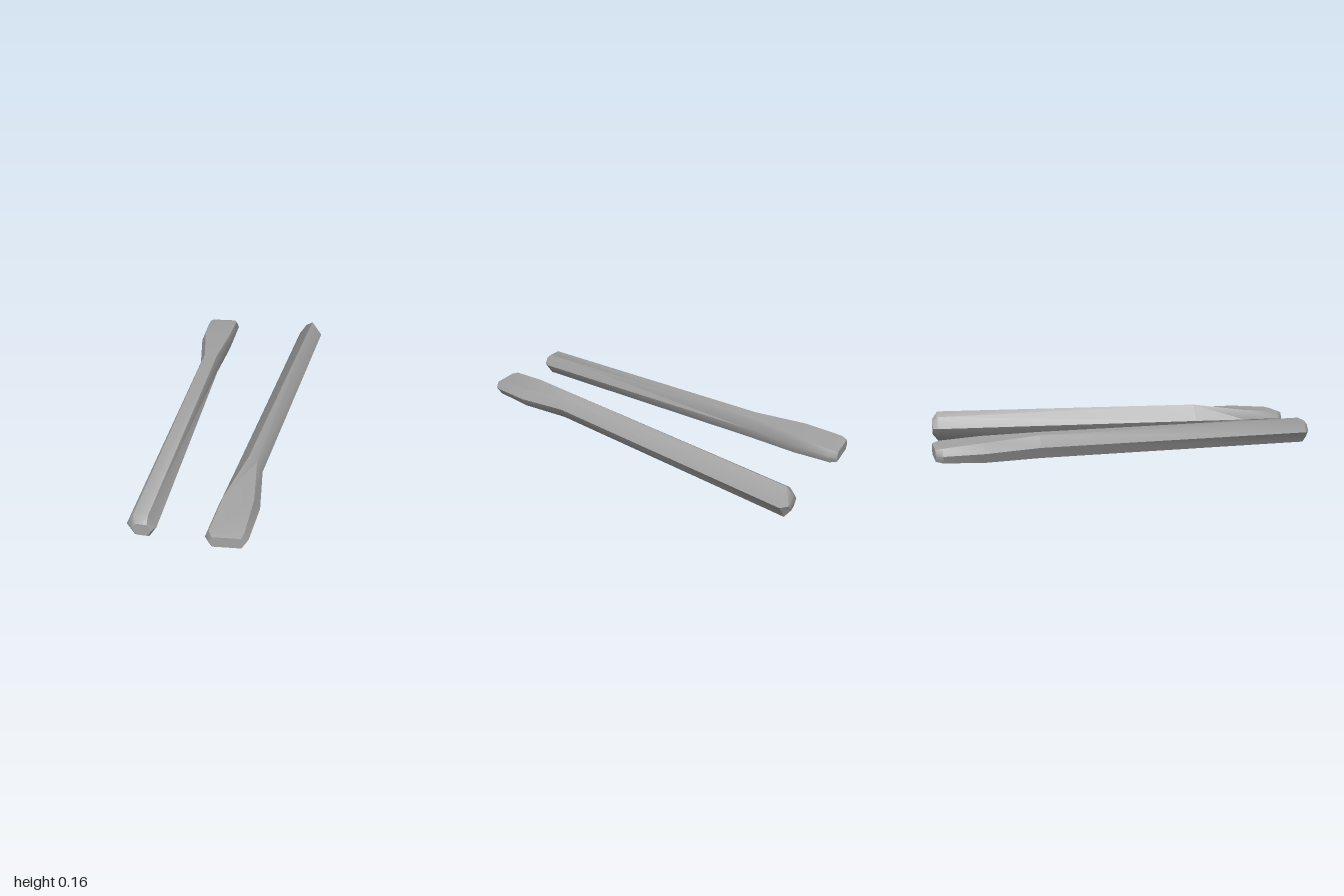
import * as THREE from 'three';
import { toCreasedNormals } from 'three/addons/utils/BufferGeometryUtils.js';

const MID = 0.083; // height of the sticks' centre plane

// Six-sided loft. Each section, ordered from +z to -z:
// [z, tilt, x left, x upper left, x upper right, x right, half height left, half height right]
function loft(sections) {
  const pos = [], index = [], n = sections.length;
  for (const [z, tilt, l, tl, tr, r, hl, hr] of sections) {
    const xc = (l + r) / 2;
    const ring = [[l, 0], [tl, hl], [tr, hr], [r, 0], [tr, -hr], [tl, -hl]];
    for (const [x, y] of ring) pos.push(x, MID + y, z + (x - xc) * tilt);
  }
  for (let i = 0; i < n - 1; i++) {
    for (let j = 0; j < 6; j++) {
      const a = i * 6 + j, b = i * 6 + (j + 1) % 6;
      index.push(a, b, b + 6, a, b + 6, a + 6);
    }
  }
  // End caps
  for (const i of [0, n - 1]) {
    const [z, , l, , , r] = sections[i];
    const centre = pos.length / 3;
    pos.push((l + r) / 2, MID, z);
    for (let j = 0; j < 6; j++) {
      const a = i * 6 + j, b = i * 6 + (j + 1) % 6;
      if (i === 0) index.push(centre, b, a);
      else index.push(centre, a, b);
    }
  }
  const geometry = new THREE.BufferGeometry();
  geometry.setAttribute('position', new THREE.Float32BufferAttribute(pos, 3));
  geometry.setIndex(index);
  return toCreasedNormals(geometry, 0.8);
}

export function createModel() {
  const group = new THREE.Group();
  group.name = 'pairOfChisels';
  const steel = new THREE.MeshStandardMaterial({ color: 0xa3a3a3 });
  steel.name = 'grey steel';

  const chisels = {
    // Even shaft, blade pointing back
    rightChisel: [
      [0.895, 0.2, -0.505, -0.487, -0.437, -0.418, 0.032, 0.032],
      [0.865, 0.2, -0.53, -0.497, -0.432, -0.397, 0.058, 0.058],
      [-0.5, 0.2, -0.225, -0.2, -0.13, -0.11, 0.057, 0.057],
      [-0.77, 0.15, -0.22, -0.198, -0.05, -0.032, 0.048, 0.048],
      [-0.96, 0.12, -0.183, -0.168, -0.003, 0.011, 0.035, 0.035],
      [-0.992, 0.12, -0.163, -0.15, -0.012, 0, 0.028, 0.028],
    ],
    // Slightly twisted shaft, blade pointing forward
    leftChisel: [
      [0.985, 0.12, -0.168, -0.155, -0.03, -0.012, 0.028, 0.028],
      [0.955, 0.12, -0.185, -0.168, -0.015, 0.004, 0.036, 0.035],
      [0.76, 0.15, -0.125, -0.105, 0.035, 0.062, 0.052, 0.05],
      [0.5, 0.2, -0.04, 0.02, 0.06, 0.087, 0.082, 0.058],
      [-0.845, 0.2, 0.395, 0.43, 0.467, 0.525, 0.058, 0.082],
      [-0.875, 0.2, 0.42, 0.443, 0.465, 0.497, 0.032, 0.04],
    ],
  };
  for (const [name, sections] of Object.entries(chisels)) {
    const mesh = new THREE.Mesh(loft(sections), steel);
    mesh.name = name;
    group.add(mesh);
  }
  return group;
}
